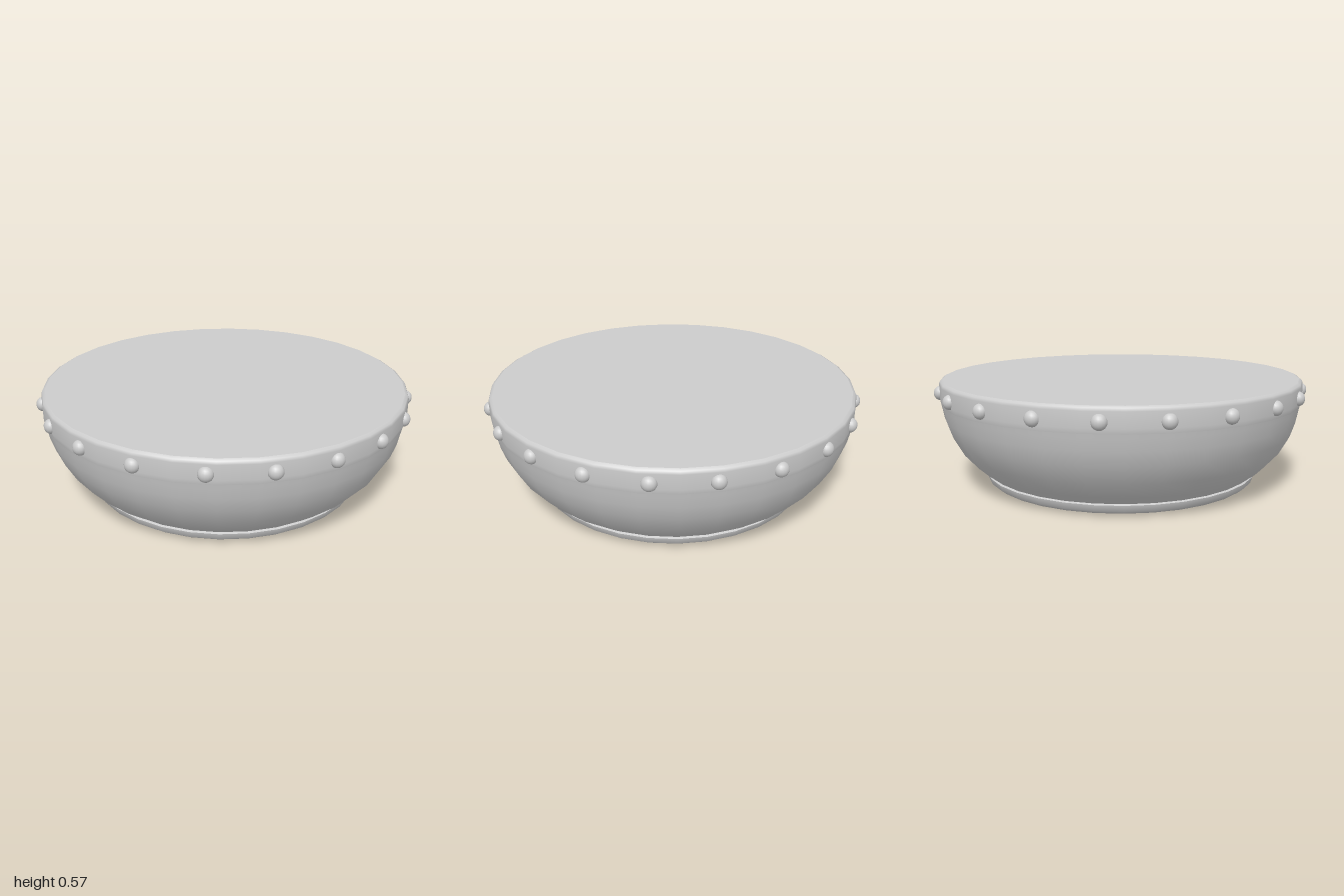
import * as THREE from 'three';

const material = new THREE.MeshStandardMaterial({ color: 0xcccccc });

// Surface of revolution; points run [radius, height] from bottom to top
function turned(name, points) {
  const profile = points.map(([r, y]) => new THREE.Vector2(r, y));
  const mesh = new THREE.Mesh(new THREE.LatheGeometry(profile, 32), material);
  mesh.name = name;
  return mesh;
}

export function createModel() {
  const drum = new THREE.Group();
  drum.name = 'drum';

  // Flat underside and low foot with a rounded lower edge
  drum.add(turned('underside', [[0, 0], [0.665, 0]]));
  drum.add(turned('foot', [[0.665, 0], [0.71, 0.012], [0.733, 0.03], [0.74, 0.06]]));
  drum.add(turned('footTop', [[0.74, 0.06], [0.725, 0.066]]));

  // Bowl-shaped shell
  drum.add(turned('shell', [
    [0.725, 0.062], [0.80, 0.12], [0.872, 0.2], [0.925, 0.295],
    [0.95, 0.37], [0.962, 0.43], [0.966, 0.45],
  ]));

  // Upright band with a small rounded shoulder, then the stretched skin
  drum.add(turned('band', [[0.966, 0.45], [0.972, 0.475], [0.972, 0.55], [0.966, 0.564], [0.952, 0.572]]));
  drum.add(turned('skin', [[0.952, 0.572], [0, 0.572]]));

  // Ring of slightly flattened tacks, one gap a little wider than the others
  const tackGeometry = new THREE.SphereGeometry(0.037, 16, 12);
  const tacks = new THREE.Group();
  tacks.name = 'tacks';
  for (let i = 0; i < 20; i++) {
    const angle = THREE.MathUtils.degToRad(i === 0 ? 0 : 19.8 + 17.87 * (i - 1));
    const tack = new THREE.Mesh(tackGeometry, material);
    tack.name = 'tack';
    tack.position.set(0.967 * Math.sin(angle), 0.503, 0.967 * Math.cos(angle));
    tack.rotation.y = angle;
    tack.scale.z = 0.88;
    tacks.add(tack);
  }
  drum.add(tacks);
  return drum;
}
